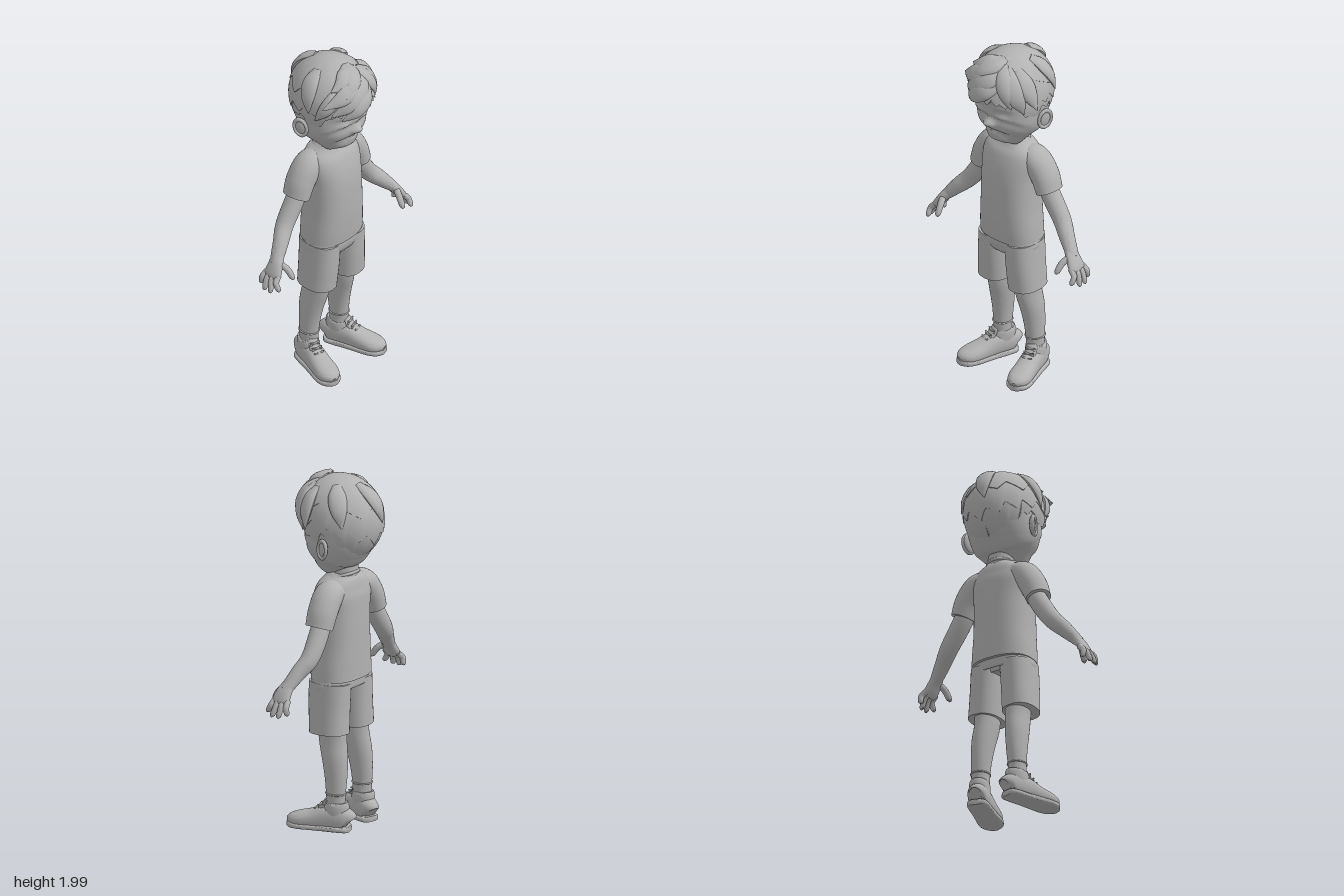
import * as THREE from 'three';
import { toCreasedNormals } from 'three/addons/utils/BufferGeometryUtils.js';

const V = (x, y, z) => new THREE.Vector3(x, y, z);
const { lerp, mapLinear, clamp, degToRad, radToDeg } = THREE.MathUtils;
const clay = new THREE.MeshStandardMaterial({ color: 0xb2b2b2 });
clay.name = 'clay grey';

// Closed skin over rings of points, with a fan at each end
function skin(rings, crease) {
  const n = rings[0].length, pos = [], idx = [];
  rings.forEach(r => r.forEach(p => pos.push(p.x, p.y, p.z)));
  for (let i = 0; i < rings.length - 1; i++) for (let j = 0; j < n; j++) {
    const a = i * n + j, b = i * n + (j + 1) % n;
    idx.push(a, a + n, b, b, a + n, b + n);
  }
  [0, rings.length - 1].forEach((i, end) => {
    const c = rings[i].reduce((s, p) => s.add(p), V(0, 0, 0)).divideScalar(n);
    const k = pos.length / 3;
    pos.push(c.x, c.y, c.z);
    for (let j = 0; j < n; j++) {
      const a = i * n + j, b = i * n + (j + 1) % n;
      if (end) idx.push(a, k, b); else idx.push(k, a, b);
    }
  });
  const g = new THREE.BufferGeometry();
  g.setAttribute('position', new THREE.Float32BufferAttribute(pos, 3));
  g.setIndex(idx);
  return toCreasedNormals(g, crease);
}

// Loft of rounded sections [x, y, z, radiusU, radiusV]; ref fixes the V direction
function loft(sections, { rows = 30, n = 32, e = 2, ref = () => V(0, 0, 1), warp, crease = 0.9 } = {}) {
  const curve = f => new THREE.CatmullRomCurve3(sections.map(f), false, 'catmullrom');
  const centre = curve(s => V(s[0], s[1], s[2])), size = curve(s => V(s[3], s[4] ?? s[3], 0));
  const pw = v => Math.sign(v) * Math.pow(Math.abs(v), 2 / e);
  const rings = [];
  for (let i = 0; i <= rows; i++) {
    const c = centre.getPoint(i / rows), r = size.getPoint(i / rows), t = centre.getTangent(i / rows);
    const u = t.clone().cross(ref(c)).normalize(), v = u.clone().cross(t), ring = [];
    for (let j = 0; j < n; j++) {
      const a = j / n * Math.PI * 2;
      const p = c.clone().addScaledVector(u, pw(Math.cos(a)) * Math.max(r.x, 0.001))
        .addScaledVector(v, pw(Math.sin(a)) * Math.max(r.y, 0.001));
      if (warp) warp(p);
      ring.push(p);
    }
    rings.push(ring);
  }
  return skin(rings, crease);
}
// Upright section: height, half width, front z, back z, centre x
const up = (y, rx, f, b, x = 0) => [x, y, (f + b) / 2, rx, (f - b) / 2];

function add(group, name, geo) {
  const m = new THREE.Mesh(geo, clay);
  m.name = name;
  group.add(m);
}
const part = name => Object.assign(new THREE.Group(), { name });
const torus = (r, tube) => new THREE.TorusGeometry(r, tube, 10, 40).toNonIndexed().rotateX(Math.PI / 2);

// Mirrored copy across x = 0, with corner order restored
function mirrored(group, name) {
  const out = part(name);
  group.children.forEach(m => {
    const g = m.geometry.clone().scale(-1, 1, 1);
    for (const key of ['position', 'normal']) {
      const a = g.attributes[key].array;
      for (let i = 0; i < a.length; i += 9) for (let k = 3; k < 6; k++)
        [a[i + k], a[i + k + 3]] = [a[i + k + 3], a[i + k]];
    }
    add(out, m.name, g);
  });
  return out;
}

// Facial relief: nose, nostrils, eye sockets, eyelids, brows, lips
function face(p) {
  if (p.z < 0.03) return;
  const x = Math.abs(p.x), y = p.y;
  const bump = (cx, cy, sx, sy) => Math.exp(-(((x - cx) / sx) ** 2) - ((y - cy) / sy) ** 2);
  p.z += 0.038 * bump(0, 1.604, 0.024, 0.024) + 0.012 * bump(0.026, 1.596, 0.013, 0.014)
    - 0.02 * bump(0.08, 1.662, 0.048, 0.034) + 0.02 * bump(0.083, 1.656, 0.036, 0.022)
    + 0.007 * bump(0.085, 1.715, 0.05, 0.012)
    + 0.012 * bump(0, 1.535, 0.035, 0.022) - 0.008 * bump(0, 1.535, 0.04, 0.004);
}

// Point on the hair volume; azimuth 0 is the front, positive toward the left
const HC = V(0, 1.74, 0), HY = 0.243;
const hairPoint = (az, th, s) => V(0.212 * Math.sin(th) * Math.sin(az), HY * Math.cos(th),
  0.245 * Math.sin(th) * Math.cos(az)).multiplyScalar(s).add(HC);

// Hair layer reaching down to a jagged edge; line holds [degrees, height]
function hairLayer(line, teeth, depth, lift) {
  const n = 168, rows = 20, rings = [];
  for (let i = 1; i <= rows + 1; i++) {
    const ring = [], t = Math.min(i / rows, 1);
    for (let j = 0; j < n; j++) {
      const az = j / n * Math.PI * 2, d = radToDeg(Math.min(az, Math.PI * 2 - az));
      const k = Math.max(1, line.findIndex(q => q[0] >= d)), [a, b] = [line[k - 1], line[k]];
      const f = (j / n * teeth + 0.2 + 0.12 * Math.sin(az * 3)) % 1;
      const tooth = f < 0.7 ? f / 0.7 : (1 - f) / 0.3;
      const y = mapLinear(d, a[0], b[0], a[1], b[1]) - depth * tooth;
      const edge = Math.acos(clamp((y - HC.y) / HY, -0.97, 0.97));
      const s = i > rows ? 0.93 : 1 + lift * (0.4 + 0.6 * t * t) + 0.014 * t * (tooth - 0.5);
      ring.push(hairPoint(az + 0.25 * (1 - t), edge * t, s));
    }
    rings.push(ring);
  }
  return skin(rings, 0.7);
}
// Flat tapering lock between two [azimuth, polar] spots in degrees, its tip flared out
function lock(width, [a0, t0], [a1, t1], flare) {
  return loft([0.5, 1, 0.85, 0.06].map((w, i) => {
    const t = i / 3, s = 1 + 0.05 * Math.min(1, 2 * t) + flare * t ** 3;
    const p = hairPoint(degToRad(lerp(a0, a1, t)), degToRad(lerp(t0, t1, t)), s);
    return [p.x, p.y, p.z, width * w, 0.022 * w];
  }), { rows: 14, n: 12, ref: c => c.clone().sub(HC).normalize(), crease: 0.8 });
}

export function createModel() {
  const model = part('boy');

  // Head and neck
  add(model, 'head', loft([
    up(1.455, 0.035, 0.145, 0.06), up(1.468, 0.08, 0.168, 0.02), up(1.5, 0.122, 0.182, -0.05),
    up(1.55, 0.168, 0.195, -0.11), up(1.6, 0.192, 0.2, -0.16), up(1.7, 0.2, 0.198, -0.215),
    up(1.8, 0.192, 0.2, -0.225), up(1.88, 0.155, 0.16, -0.185), up(1.95, 0.06, 0.06, -0.08)],
  { rows: 110, n: 112, e: 2.12, warp: face, crease: 1.4 }));
  add(model, 'neck', loft([up(1.36, 0.09, 0.065, -0.105), up(1.43, 0.078, 0.06, -0.1), up(1.56, 0.08, 0.07, -0.1)]));

  // Hair layers, nape to crown
  add(model, 'hairBase', hairLayer([[0, 1.79], [45, 1.78], [76, 1.665], [84, 1.665], [94, 1.71],
    [112, 1.7], [126, 1.59], [180, 1.545]], 19, 0.03, 0));
  add(model, 'hairMiddle', hairLayer([[0, 1.81], [100, 1.77], [180, 1.68]], 13, 0.05, 0.018));
  add(model, 'hairCrown', hairLayer([[0, 1.89], [180, 1.84]], 8, 0.05, 0.03));

  // Swept fringe and loose tufts
  add(model, 'fringeLong', lock(0.06, [30, 38], [-52, 86], 0.01));
  add(model, 'fringeUpper', lock(0.055, [20, 30], [-62, 75], 0.17));
  add(model, 'fringeLower', lock(0.05, [25, 58], [-38, 93], -0.02));
  add(model, 'topTuft', lock(0.055, [10, 22], [-52, 54], 0.1));
  add(model, 'frontTuft', lock(0.05, [20, 20], [-32, 62], 0.12));
  add(model, 'rightTempleLock', lock(0.04, [-40, 50], [-74, 96], 0));
  add(model, 'leftFrontLock', lock(0.055, [35, 35], [64, 99], -0.01));
  add(model, 'leftTuft', lock(0.05, [60, 38], [78, 93], 0.13));
  add(model, 'partingLock', lock(0.045, [25, 30], [46, 90], -0.02));
  for (const az of [-95, 112, 178]) add(model, 'backLock', lock(0.05, [az, 28], [az + 12, 88], 0));

  // Shirt body and collar
  add(model, 'shirt', loft([
    up(0.845, 0.184, 0.132, -0.138), up(0.92, 0.18, 0.139, -0.138), up(1.05, 0.17, 0.144, -0.138),
    up(1.22, 0.168, 0.138, -0.137), up(1.33, 0.175, 0.112, -0.135), up(1.39, 0.155, 0.082, -0.122),
    up(1.43, 0.1, 0.06, -0.105), up(1.447, 0.083, 0.05, -0.1)], { rows: 44, n: 56, e: 2.45 }));
  add(model, 'collar', torus(0.084, 0.009).rotateX(0.3).translate(0, 1.425, -0.018));

  // Upper part of the shorts
  add(model, 'shortsTop', loft([up(0.775, 0.13, 0.09, -0.09), up(0.8, 0.185, 0.122, -0.115),
    up(0.88, 0.172, 0.122, -0.122)], { rows: 14, n: 48, e: 2.5 }));

  // Left arm: sleeve, arm, palm and fingers
  const arm = part('leftArm');
  add(arm, 'sleeve', loft([[0.07, 1.365, -0.03, 0.055, 0.07], [0.15, 1.34, -0.03, 0.075, 0.083],
    [0.21, 1.265, -0.034, 0.074, 0.084], [0.245, 1.18, -0.034, 0.066, 0.08]]));
  add(arm, 'arm', loft([[0.2, 1.25, -0.035, 0.05], [0.26, 1.14, -0.04, 0.054], [0.335, 1.03, -0.038, 0.05],
    [0.4, 0.96, -0.008, 0.043], [0.475, 0.877, 0.024, 0.028, 0.036]], { n: 24 }));
  add(arm, 'palm', loft([[0.44, 0.915, 0.012, 0.026, 0.034], [0.475, 0.875, 0.025, 0.026, 0.045],
    [0.505, 0.83, 0.03, 0.022, 0.054], [0.518, 0.808, 0.03, 0.015, 0.048]], { rows: 16, n: 24, e: 2.3 }));
  const finger = (name, a, b, c, r) => add(arm, name, loft(
    [[...a, r], [...b, r], [...c, r * 0.85], [c[0], c[1] - 0.01, c[2], r * 0.25]], { rows: 14, n: 14 }));
  for (let i = 0; i < 4; i++) {
    const inner = i % 3 ? 1 : 0, z = 0.041 * i - 0.028;
    finger('finger' + (i + 1), [0.5, 0.83, 0.027 * i - 0.013], [0.53, 0.8, z * 0.8],
      [0.531 + 0.019 * inner, 0.765 - 0.013 * inner, z], 0.0165);
  }
  finger('thumb', [0.467, 0.883, 0.045], [0.45, 0.855, 0.085], [0.442, 0.812, 0.115], 0.018);
  model.add(arm, mirrored(arm, 'rightArm'));

  // Left leg: shorts leg, calf and sock band
  const leg = part('leftLeg');
  add(leg, 'shortsLeg', loft([up(0.545, 0.092, 0.105, -0.115, 0.111), up(0.69, 0.091, 0.117, -0.115, 0.102),
    up(0.83, 0.09, 0.122, -0.118, 0.094)], { e: 2.4 }));
  add(leg, 'calf', loft([up(0.1, 0.048, -0.005, -0.105, 0.12), up(0.2, 0.049, 0, -0.11, 0.12),
    up(0.3, 0.054, 0.012, -0.118, 0.116), up(0.4, 0.06, 0.033, -0.117, 0.11),
    up(0.5, 0.062, 0.06, -0.105, 0.101), up(0.6, 0.065, 0.07, -0.1, 0.1)]));
  add(leg, 'sockBand', torus(0.05, 0.005).scale(1, 1, 1.1).translate(0.12, 0.21, -0.055));

  // Left shoe, built straight from [z, half width, height], then turned outward
  const last = [[-0.085, 0.03, 0.1], [-0.07, 0.05, 0.125], [-0.02, 0.057, 0.145], [0.05, 0.058, 0.138],
    [0.12, 0.062, 0.11], [0.19, 0.065, 0.09], [0.235, 0.052, 0.074], [0.26, 0.022, 0.052]];
  const ref = () => V(0, 1, 0);
  const shoe = (name, geo) => add(leg, name, geo.rotateY(0.3).translate(0.125, 0, -0.05));
  shoe('shoeUpper', loft(last.map(([z, w, h]) => [0, h / 2, z, w, h / 2]),
    { e: 2.3, ref, warp: p => { p.y = Math.max(p.y, 0.012); } }));
  shoe('shoeSole', loft(last.map(([z, w]) => [0, 0.016, z * 1.025, w * 1.06, 0.016]), { e: 5, ref }));
  shoe('shoeCollar', loft([up(0.07, 0.054, 0.075, -0.075), up(0.12, 0.057, 0.062, -0.082),
    up(0.152, 0.055, 0.053, -0.081), up(0.162, 0.048, 0.044, -0.072)]));
  shoe('shoeTongue', loft([[0, 0.1, 0.09, 0.03, 0.014], [0, 0.14, 0.055, 0.034, 0.014],
    [0, 0.175, 0.035, 0.026, 0.01]], { rows: 10, n: 16 }));
  for (let i = 0; i < 3; i++) for (const s of [-1, 1])
    shoe('shoeLace', new THREE.CapsuleGeometry(0.005, 0.055, 4, 8).toNonIndexed()
      .rotateZ(Math.PI / 2 + s * 0.25).translate(0, 0.155 - i * 0.02, 0.06 + i * 0.022));
  model.add(leg, mirrored(leg, 'rightLeg'));

  // Left ear: shell and rim
  const ear = part('leftEar');
  const earPart = (name, geo) => add(ear, name, geo.rotateX(-0.2).rotateY(-0.35).translate(0.207, 1.62, -0.035));
  earPart('earShell', new THREE.SphereGeometry(1, 24, 16).toNonIndexed().scale(0.016, 0.055, 0.038));
  earPart('earRim', torus(0.04, 0.01).rotateZ(Math.PI / 2).scale(1.1, 1.25, 0.9).translate(0.008, 0, 0));
  model.add(ear, mirrored(ear, 'rightEar'));

  return model;
}
